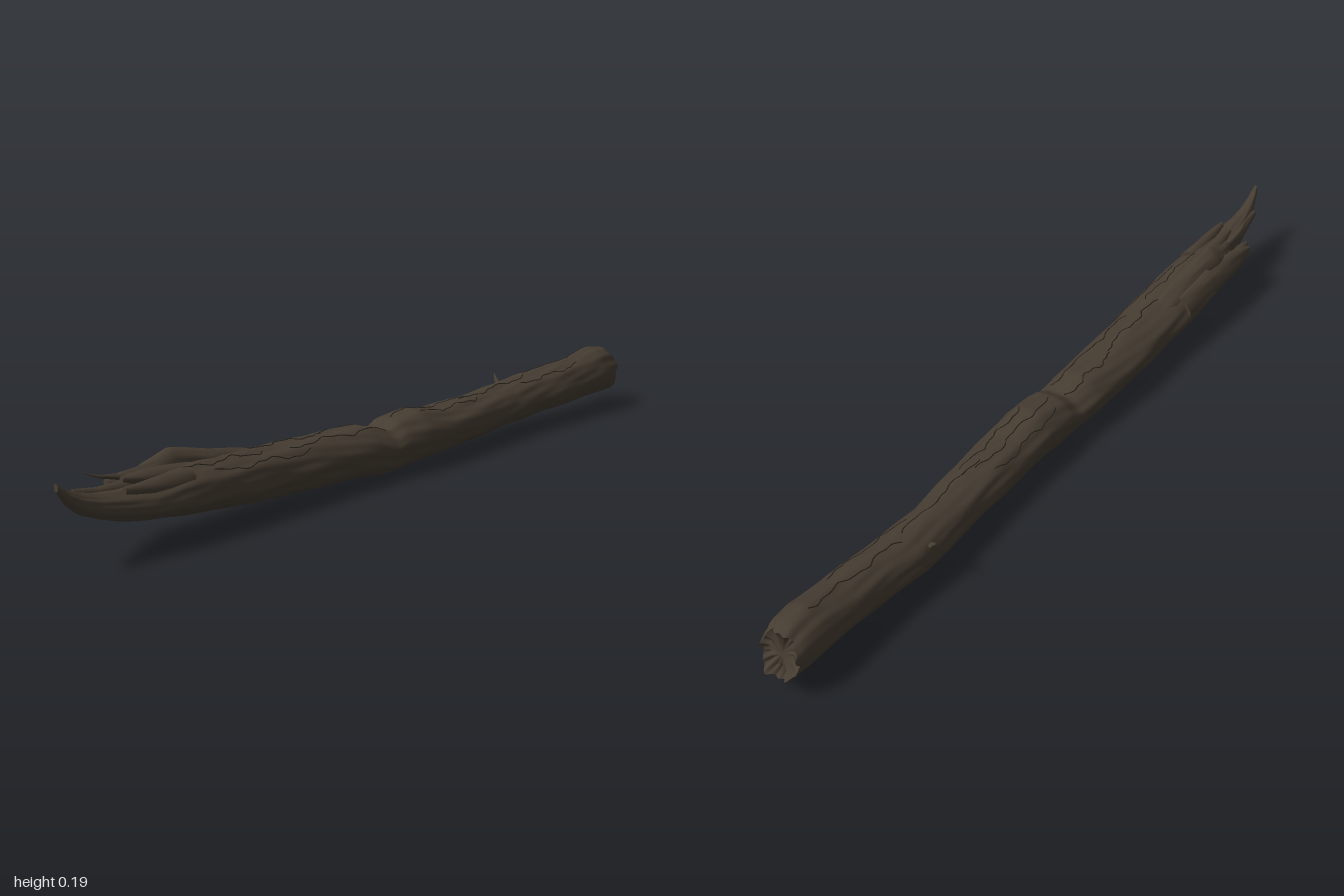
import * as THREE from 'three';

const bark = new THREE.MeshStandardMaterial({ color: 0x463d32 });
bark.name = 'darkBark';
const crackDark = new THREE.MeshStandardMaterial({ color: 0x2a241d });
crackDark.name = 'crackBrown';

// Stations: [x, bottom, top, back z, front z]
const TRUNK = [
  [-1, .172, .19, .004, .016], [-.975, .14, .172, -.005, .02], [-.94, .112, .158, -.014, .024],
  [-.9, .096, .148, -.022, .03], [-.84, .078, .142, -.032, .042], [-.78, .066, .14, -.05, .056],
  [-.7, .055, .15, -.076, .062], [-.6, .043, .153, -.085, .065], [-.5, .034, .148, -.084, .067],
  [-.35, .024, .141, -.079, .068], [-.2, .015, .136, -.075, .068], [-.08, .008, .133, -.066, .07],
  [-.04, .005, .122, -.06, .073], [-.015, .003, .115, -.056, .075], [.02, .004, .134, -.056, .077],
  [.1, .01, .141, -.053, .082], [.2, .014, .128, -.053, .08], [.35, .018, .129, -.055, .073],
  [.5, .024, .132, -.059, .062], [.6, .028, .139, -.062, .065], [.7, .032, .145, -.048, .071],
  [.8, .036, .152, -.043, .074], [.9, .04, .167, -.039, .077], [.955, .042, .164, -.037, .074],
  [.985, .046, .155, -.034, .062],
];
const SLAB = [
  [-.79, .125, .14, -.088, -.072], [-.76, .1, .148, -.092, -.05], [-.7, .085, .152, -.091, -.04],
  [-.6, .075, .152, -.088, -.03], [-.48, .075, .14, -.083, -.03],
];
const HUMP = [
  [-.73, .14, .162, -.055, -.03], [-.7, .13, .17, -.065, -.015], [-.66, .12, .185, -.066, -.008],
  [-.62, .12, .178, -.06, 0], [-.56, .12, .166, -.056, .01], [-.42, .11, .14, -.05, .01],
];
const SPLINTERS = [
  [[-.93, .14, .158, -.03, -.016], [-.87, .115, .148, -.036, -.014], [-.74, .1, .15, -.045, -.01]],
  [[-.84, .135, .152, .018, .032], [-.78, .12, .153, .01, .043], [-.66, .1, .155, -.005, .05]],
  [[-.85, .1, .112, -.052, -.04], [-.8, .09, .12, -.065, -.03], [-.68, .07, .12, -.076, -.03]],
  [[-.81, .148, .16, -.02, -.008], [-.76, .13, .162, -.03, .006], [-.62, .11, .155, -.04, .02]],
];

function sample(stations, x) {
  let i = 0;
  while (i < stations.length - 2 && x > stations[i + 1][0]) i++;
  const a = stations[i], b = stations[i + 1];
  const t = (x - a[0]) / (b[0] - a[0]);
  return a.map((v, k) => v + (b[k] - v) * t);
}

// Lengthwise bark ridges that wander slowly around the wood
function ridge(x, a, rough) {
  return 1 + rough * (.5 * Math.sin(3 * a + 4 * x) + .5 * Math.sin(7 * a - 6 * x + Math.sin(9 * x))
    + .45 * Math.sin(13 * a + 5 * Math.sin(5 * x)) * Math.sin(17 * x + 2 * a)
    + .35 * Math.sin(31 * x + 3 * a) - .5);
}

function surfacePoint(stations, x, a, rough) {
  const [, y0, y1, z0, z1] = sample(stations, x);
  const r = ridge(x, a, rough);
  const slant = Math.max(0, (x - .9) / .085);   // sloping, chipped right end
  const chip = .012 * Math.sin(a) - .006 * Math.sin(5 * a) - .004 * Math.sin(11 * a);
  return [x - slant * chip, (y0 + y1) / 2 + (y1 - y0) / 2 * r * Math.sin(a),
    (z0 + z1) / 2 + (z1 - z0) / 2 * r * Math.cos(a)];
}

// Closed loft; the end caps have their own vertices so their rims stay sharp
function loft(name, stations, rings, sides, rough, dent = 0) {
  const pos = [], index = [];
  const x0 = stations[0][0], x1 = stations[stations.length - 1][0];
  const ring = (x) => Array.from({ length: sides },
    (_, j) => surfacePoint(stations, x, j / sides * Math.PI * 2, rough));
  for (let i = 0; i <= rings; i++) {
    ring(x0 + (x1 - x0) * i / rings).forEach(p => pos.push(...p));
    if (i === rings) break;
    for (let j = 0; j < sides; j++) {
      const a = i * sides + j, b = i * sides + (j + 1) % sides;
      index.push(a, a + sides, b, b, a + sides, b + sides);
    }
  }
  for (const end of [0, 1]) {
    const pts = ring(end ? x1 : x0);
    const c = [0, 1, 2].map(k => pts.reduce((s, p) => s + p[k], 0) / sides);
    const start = pos.length / 3;
    pts.forEach(p => pos.push(...p));
    pts.forEach((p, j) => pos.push(c[0] + (p[0] - c[0]) * .5 - end * dent * (1 + .5 * Math.sin(j * 1.7)),
      c[1] + (p[1] - c[1]) * .7, c[2] + (p[2] - c[2]) * .7));
    pos.push(c[0] - end * dent * .6, c[1], c[2]);
    const mid = start + 2 * sides;
    for (let j = 0; j < sides; j++) {
      const k = (j + 1) % sides, o = start + j, p = start + k;
      const tris = [[o, p, o + sides], [p, p + sides, o + sides], [o + sides, p + sides, mid]];
      tris.forEach(([u, v, w]) => end ? index.push(u, w, v) : index.push(u, v, w));
    }
  }
  const g = new THREE.BufferGeometry();
  g.setAttribute('position', new THREE.Float32BufferAttribute(pos, 3));
  g.setIndex(index);
  g.computeVertexNormals();
  const mesh = new THREE.Mesh(g, bark);
  mesh.name = name;
  return mesh;
}

function twig(name, points, radius) {
  const curve = new THREE.CatmullRomCurve3(points.map(p => new THREE.Vector3(...p)));
  const g = new THREE.TubeGeometry(curve, 10, radius, 7);
  // taper toward the tip
  const p = g.attributes.position, v = new THREE.Vector3();
  for (let i = 0; i < p.count; i++) {
    const t = Math.floor(i / 8) / 10, c = curve.getPointAt(t);
    v.fromBufferAttribute(p, i).sub(c).multiplyScalar(1 - .9 * t).add(c);
    p.setXYZ(i, v.x, v.y, v.z);
  }
  g.computeVertexNormals();
  const mesh = new THREE.Mesh(g, bark);
  mesh.name = name;
  return mesh;
}

// Thin wandering crack lying on the bark
function crack(x, length, angle, k) {
  const pts = [];
  for (let i = 0; i <= 14; i++) {
    const u = x + length * i / 14;
    const a = angle + .09 * Math.sin(i * .9 + k) + .05 * Math.sin(i * 2.3 + k);
    pts.push(new THREE.Vector3(...surfacePoint(TRUNK, u, a, .045)));
  }
  const mesh = new THREE.Mesh(
    new THREE.TubeGeometry(new THREE.CatmullRomCurve3(pts), 28, .0016, 4), crackDark);
  mesh.name = 'barkCrack';
  return mesh;
}

export function createModel() {
  const log = new THREE.Group();
  log.name = 'fallenLog';
  log.add(loft('trunk', TRUNK, 220, 64, .045, .014));

  // Torn wood at the left end
  log.add(loft('tornSlab', SLAB, 36, 18, .12));
  log.add(loft('tornHump', HUMP, 36, 18, .14));
  SPLINTERS.forEach(s => log.add(loft('splinter', s, 24, 12, .14)));

  // Twigs
  log.add(twig('tornTwig', [[-.76, .145, -.035], [-.82, .157, -.04], [-.85, .164, -.036], [-.885, .178, -.04]], .009));
  log.add(twig('sideStub', [[.57, .1, -.045], [.575, .12, -.062], [.585, .135, -.076]], .011));

  // Cracks along the upper bark: [start, length, angle]
  const cracks = [[-.68, .25, 1.2], [-.6, .3, .75], [-.45, .25, 1.6], [-.35, .32, 1.1], [-.2, .18, 1.9],
    [.03, .3, 1.75], [.1, .25, 1.2], [.3, .3, 1.45], [.55, .25, 1.0], [.62, .28, 1.8], [-.7, .2, 2.4], [.05, .25, 2.3]];
  cracks.forEach(([x, l, a], k) => log.add(crack(x, l, a, k)));
  return log;
}
